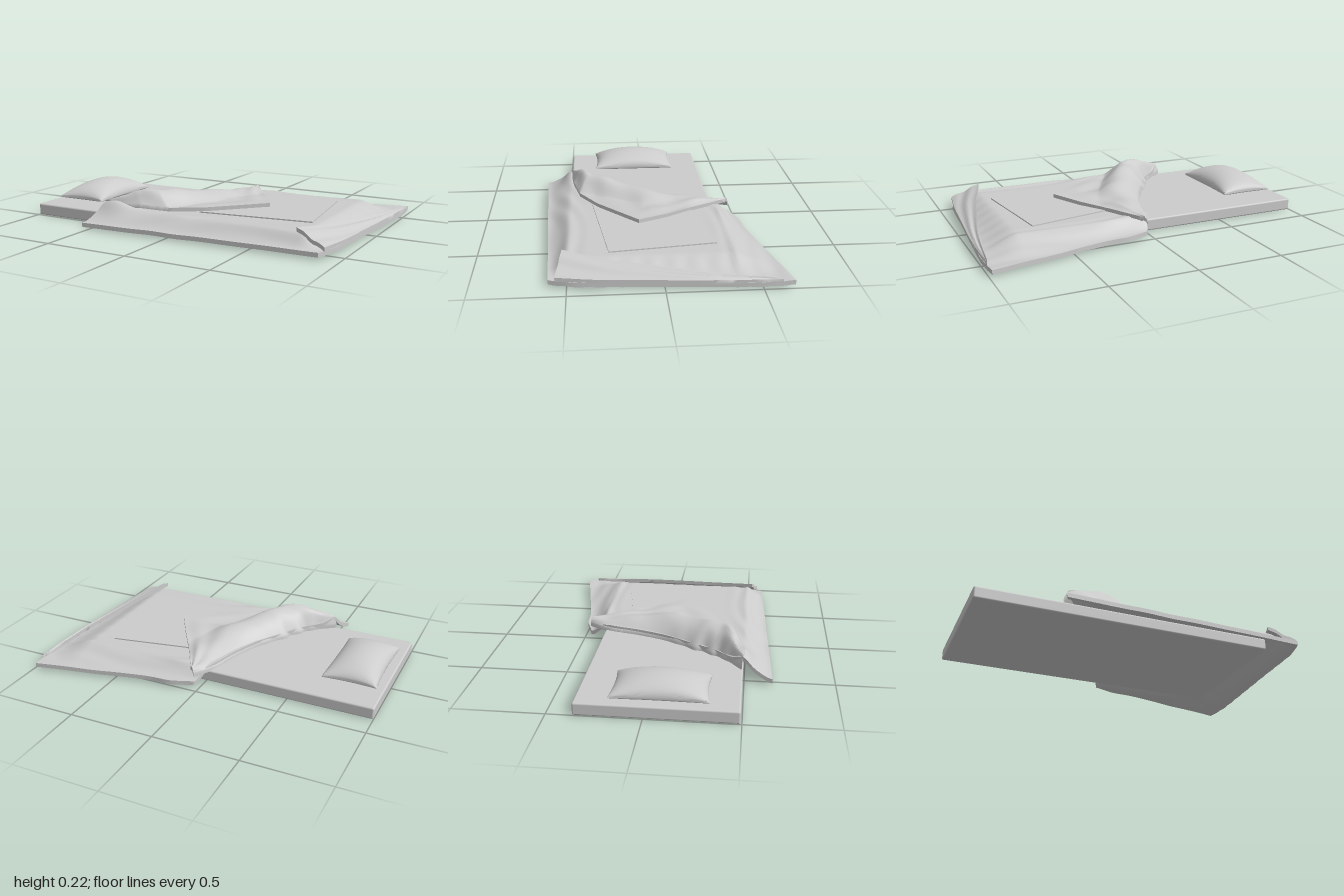
import * as THREE from 'three';
import { toCreasedNormals } from 'three/addons/utils/BufferGeometryUtils.js';
import { RoundedBoxGeometry } from 'three/addons/geometries/RoundedBoxGeometry.js';

const material = new THREE.MeshStandardMaterial({ color: 0xcccccc, side: THREE.DoubleSide });
const { smoothstep, clamp, lerp } = THREE.MathUtils;

// Closed cloth: point(u, v) gives [x, top y, z, bottom y]; u runs along +x, v along +z
function sheet(nu, nv, point, crease = 0.9) {
  const top = [], bottom = [], index = [];
  for (let j = 0; j <= nv; j++) {
    for (let i = 0; i <= nu; i++) {
      const [x, y, z, low] = point(i / nu, j / nv);
      top.push(x, y, z);
      bottom.push(x, low, z);
    }
  }
  const row = nu + 1, count = row * (nv + 1);
  const quad = (a, b, c, d) => index.push(a, b, c, a, c, d);
  for (let j = 0; j < nv; j++) {
    for (let i = 0; i < nu; i++) {
      const a = j * row + i;
      quad(a, a + row, a + row + 1, a + 1);
      quad(a + count, a + count + 1, a + count + row + 1, a + count + row);
    }
  }
  // Hem around the rim
  const hem = (a, b) => quad(a, b, b + count, a + count);
  for (let i = 0; i < nu; i++) {
    hem(i, i + 1);
    hem(nv * row + i + 1, nv * row + i);
  }
  for (let j = 0; j < nv; j++) {
    hem((j + 1) * row, j * row);
    hem(j * row + nu, (j + 1) * row + nu);
  }
  const g = new THREE.BufferGeometry();
  g.setAttribute('position', new THREE.Float32BufferAttribute([...top, ...bottom], 3));
  g.setIndex(index);
  return toCreasedNormals(g, crease);
}

const vectors = (pts) => pts.map((p) => new THREE.Vector3(...p));

// Smooth edge through points
function smoothEdge(pts) {
  const curve = new THREE.CatmullRomCurve3(vectors(pts));
  return (t) => curve.getPoint(t);
}

// Edge with sharp corners at its points
function sharpEdge(pts) {
  const p = vectors(pts), n = p.length - 1;
  return (t) => {
    const k = Math.min(Math.floor(t * n), n - 1);
    return p[k].clone().lerp(p[k + 1], t * n - k);
  };
}

const bump = (d, width) => Math.exp(-((d / width) ** 2));

export function createModel() {
  const group = new THREE.Group();
  const add = (name, geometry) => {
    const mesh = new THREE.Mesh(geometry, material);
    mesh.name = name;
    group.add(mesh);
    return mesh;
  };

  // Mattress
  add('mattress', new RoundedBoxGeometry(1.74, 0.07, 0.855, 3, 0.01)).position.set(-0.13, 0.035, 0.065);

  // Pillow with pinched corners
  add('pillow', sheet(28, 36, (s, t) => {
    const u = -Math.cos(s * Math.PI), v = -Math.cos(t * Math.PI);
    const dome = Math.pow(Math.max(0, (1 - u * u) * (1 - v * v)), 0.5);
    return [
      -0.8 + 0.16 * u * (1 - 0.07 * (1 - v * v)),
      0.092 + 0.088 * dome,
      0.075 + 0.26 * v * (1 - 0.05 * (1 - u * u)),
      0.09 - 0.018 * Math.sqrt(dome),
    ];
  }, 1.2));

  // Blanket spread over the mattress and hanging past its edges to the floor
  const left = smoothEdge([
    [0.03, 0, -0.46], [-0.03, 0, -0.33], [-0.08, 0, -0.15], [-0.15, 0, 0.03],
    [-0.24, 0, 0.18], [-0.34, 0, 0.34], [-0.48, 0, 0.48], [-0.54, 0, 0.655],
  ]);
  const right = smoothEdge([
    [0.985, 0, -0.665], [0.995, 0, -0.5], [0.98, 0, -0.25], [0.965, 0, -0.05],
    [0.95, 0, 0.15], [0.94, 0, 0.32], [0.925, 0, 0.48], [0.89, 0, 0.595],
  ]);
  const backL = left(0).z, backR = right(0).z, frontL = left(1).z, frontR = right(1).z;
  add('blanket', sheet(90, 90, (u, v) => {
    const a = left(v), b = right(v);
    const x = lerp(a.x, b.x, u);
    // The back hem bulges out a little next to the turned-back part
    const z = lerp(a.z, b.z, u) - 0.02 * bump(u - 0.14, 0.1) * (1 - v) ** 8;
    const back = clamp((-0.37 - z) / (-0.37 - lerp(backL, backR, u)), 0, 1);
    const front = clamp((z - 0.49) / (lerp(frontL, frontR, u) - 0.49), 0, 1);
    const end = clamp((x - 0.76) / (b.x - 0.76), 0, 1);
    const reach = Math.min(1, Math.hypot(Math.max(back, front), end));
    const drop = smoothstep(Math.pow(reach, 0.85), 0, 1);
    // Bunched corner by the turned-back part, ridge at the back, soft wrinkles near the rim
    const bunch = 0.042 * bump(x + 0.42, 0.11) * bump(z - 0.5, 0.06);
    const ridge = 0.007 * bump(z + 0.385, 0.014) * smoothstep(x, 0.05, 0.2) * smoothstep(0.95 - x, 0, 0.15);
    const rim = smoothstep(z, 0.36, 0.5) + smoothstep(-z, 0.28, 0.38) + 0.6 * smoothstep(x, 0.74, 0.84);
    const wrinkle = 0.004 * Math.min(rim, 1) * (1 - 0.6 * drop)
      * Math.sin(z * 55 + 3 * Math.sin(x * 5) + x * 9);
    const y = 0.104 - 0.066 * drop + bunch + ridge + wrinkle;
    return [x, y, z, y - 0.025];
  }));

  // Flat quilted panel inside the blanket border
  const panelBack = [[-0.04, -0.18], [0.655, -0.305]], panelFront = [[0.07, 0.36], [0.73, 0.28]];
  add('blanketPanel', sheet(1, 1, (u, v) => {
    const [x, z] = (v ? panelFront : panelBack)[u];
    return [x, 0.111, z, 0.095];
  }));

  // Turned-back corner of the blanket, with a hollow roll along its crease
  const crease = smoothEdge([
    [0.03, 0.09, -0.465], [-0.035, 0.085, -0.33], [-0.085, 0.083, -0.15], [-0.155, 0.082, 0.03],
    [-0.25, 0.082, 0.18], [-0.32, 0.082, 0.3], [-0.39, 0.085, 0.39], [-0.51, 0.09, 0.485],
  ]);
  const freeEdge = sharpEdge([
    [0.06, 0.122, -0.44], [0.17, 0.127, -0.25], [0.28, 0.132, -0.08], [0.39, 0.144, 0.1],
    [0.1, 0.132, 0.33], [-0.08, 0.13, 0.435], [-0.25, 0.14, 0.475], [-0.44, 0.13, 0.5],
  ]);
  const roll = smoothEdge([0.01, 0.025, 0.035, 0.055, 0.085, 0.1, 0.085, 0.03].map((h) => [0, h, 0]));
  add('turnedBackCorner', sheet(64, 84, (u, v) => {
    const start = crease(v), end = freeEdge(v);
    const p = start.clone().lerp(end, u);
    // The roll is about a quarter unit wide; past it the cloth lies flat up to the tip
    const width = Math.min(0.27, start.distanceTo(end));
    const across = Math.min(1, start.distanceTo(p) / width);
    const rise = lerp(start.y, end.y, Math.min(1, Math.sqrt(across) * 0.8 + 0.2 * u));
    const body = Math.sin(Math.PI * u);
    const y = rise + roll(v).y * Math.max(0, Math.sin(Math.PI * across ** 0.9)) ** 1.15
      + 0.005 * body * Math.sin(v * 30 + u * 5)
      + 0.004 * body * Math.sin(u * 14 - v * 9);
    // Small tucks along the crease
    const tuck = 0.03 * (1 - u) ** 4 * Math.sin(v * 50) * smoothstep(v, 0.4, 0.7) * (1 - v);
    return [p.x + tuck, y, p.z, y - 0.022];
  }));

  // Narrow fold along the foot end
  const inner = smoothEdge([
    [0.98, 0.055, -0.55], [0.93, 0.08, -0.2], [0.865, 0.1, 0.1], [0.82, 0.112, 0.3], [0.742, 0.137, 0.525],
  ]);
  const outer = smoothEdge([
    [0.992, 0.05, -0.6], [0.987, 0.055, -0.25], [0.96, 0.055, 0.1], [0.94, 0.056, 0.35], [0.91, 0.06, 0.56],
  ]);
  add('footFold', sheet(16, 48, (u, v) => {
    const p = inner(v).lerp(outer(v), u);
    const y = p.y + 0.006 * Math.sin(Math.PI * u) * Math.sin(u * 9 + v * 6);
    return [p.x, y, p.z, y - 0.022];
  }));

  return group;
}
